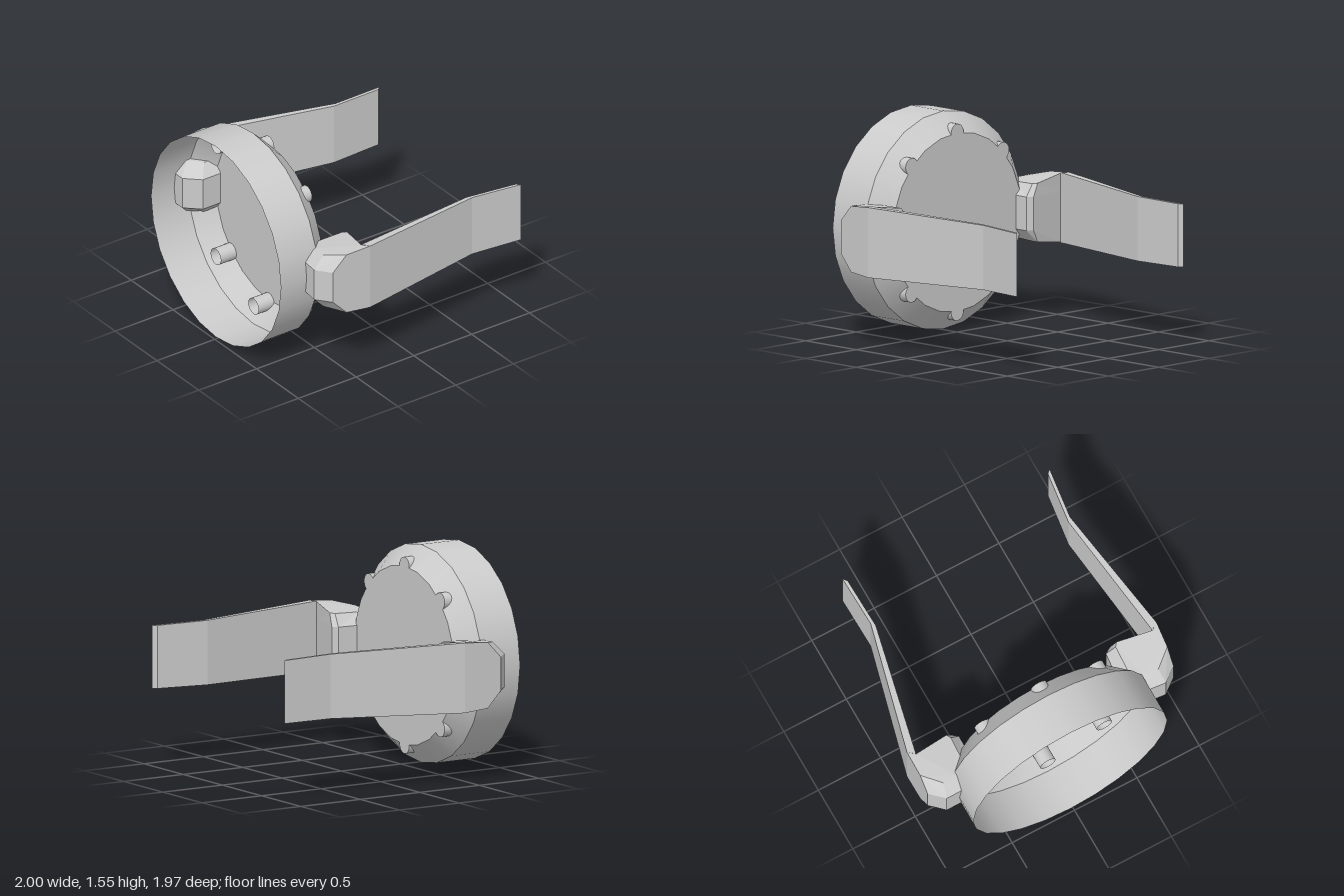
import * as THREE from 'three';

const CX = -0.02, CY = 0.778;
const grey = (opts = {}) => new THREE.MeshStandardMaterial({ color: 0xcccccc, ...opts });

function addMesh(parent, name, geometry, material) {
  const mesh = new THREE.Mesh(geometry, material);
  mesh.name = name;
  parent.add(mesh);
  return mesh;
}

// Solid from stacked horizontal loops; each point is [x, y, z]. side -1 mirrors in x.
function loft(levels, side) {
  const n = levels[0].length, index = [];
  for (let l = 0; l < levels.length - 1; l++) {
    for (let i = 0; i < n; i++) {
      const j = (i + 1) % n, a = l * n + i, b = l * n + j;
      index.push(b, a, a + n, b, a + n, b + n);
    }
  }
  const cap = (loop, base, up) => {
    const flat = loop.map(([x, , z]) => new THREE.Vector2(x, z));
    for (const [a, b, c] of THREE.ShapeUtils.triangulateShape(flat, [])) {
      const area = THREE.ShapeUtils.area([flat[a], flat[b], flat[c]]);
      if ((area < 0) === up) index.push(base + a, base + b, base + c);
      else index.push(base + a, base + c, base + b);
    }
  };
  cap(levels[0], 0, false);
  cap(levels[levels.length - 1], (levels.length - 1) * n, true);
  if (side < 0) index.reverse();
  const points = levels.flat().flatMap(([x, y, z]) => [side * x, y, z]);
  const g = new THREE.BufferGeometry();
  g.setAttribute('position', new THREE.Float32BufferAttribute(points, 3));
  g.setIndex(index);
  const out = g.toNonIndexed();
  out.computeVertexNormals();
  return out;
}

// Outlines seen from above, [x, z, half height]
const blockTop = [[1, 0.38, 0.25], [1, 0.57, 0.235], [0.88, 0.69, 0.21], [0.77, 0.69, 0.205],
  [0.68, 0.6, 0.2], [0.67, 0.42, 0.205], [0.69, 0.388, 0.21], [0.95, 0.42, 0.245]];
const blockMid = [[1, 0.38], [1, 0.68], [0.9, 0.775], [0.7, 0.775],
  [0.6, 0.67], [0.6, 0.41], [0.64, 0.378], [0.95, 0.42]];
const strip = [[1, 0.38, 0.25], [0.95, 0.42, 0.25], [0.73, -0.56, 0.23],
  [0.74, -0.95, 0.225], [0.765, -0.98, 0.225], [0.755, -0.59, 0.23]];

function createArm(side) {
  const arm = new THREE.Group();
  arm.name = side > 0 ? 'leftArm' : 'rightArm';
  const level = (pts, s, h) => pts.map(([x, z, hh]) => [x - 1, CY + s * (h ?? hh), z - 0.39]);
  const material = grey({ flatShading: true });
  addMesh(arm, 'armBlock', loft([level(blockTop, -1), level(blockMid, -1, 0.12),
    level(blockMid, 1, 0.12), level(blockTop, 1)], side), material);
  addMesh(arm, 'armStrip', loft([level(strip, -1), level(strip, 1)], side), material);
  arm.position.set(side, 0, 0.39);
  // the left arm is spread slightly outwards
  if (side > 0) arm.rotation.y = -0.1;
  return arm;
}

// Open tube along z
function tube(rFront, rBack, zFront, zBack, sides) {
  return new THREE.CylinderGeometry(rFront, rBack, zFront - zBack, sides, 1, true)
    .rotateX(Math.PI / 2).translate(0, 0, (zFront + zBack) / 2);
}

export function createModel() {
  const model = new THREE.Group();
  model.name = 'eyeShield';
  const thin = grey({ side: THREE.DoubleSide });

  // Open cup with a flat back
  const cup = new THREE.Group();
  cup.name = 'cup';
  cup.position.set(CX, CY, 0);
  addMesh(cup, 'cupRim', tube(0.777, 0.777, 0.975, 0.655, 24), thin);
  addMesh(cup, 'cupBevel', tube(0.777, 0.637, 0.655, 0.515, 24), thin);
  addMesh(cup, 'cupPlate', new THREE.CircleGeometry(0.637, 24).translate(0, 0, 0.515), thin);

  // Small hollow pegs set through the bevel
  for (const degrees of [45, 90, 135, 225, 270, 315]) {
    const a = THREE.MathUtils.degToRad(degrees);
    const peg = new THREE.Group();
    peg.name = 'peg';
    peg.position.set(0.64 * Math.cos(a), 0.64 * Math.sin(a), 0);
    addMesh(peg, 'pegWall', tube(0.062, 0.062, 0.65, 0.515, 16), thin);
    addMesh(peg, 'pegEnd', new THREE.CircleGeometry(0.062, 16).translate(0, 0, 0.515), thin);
    cup.add(peg);
  }
  model.add(cup);

  // Side arms
  model.add(createArm(1), createArm(-1));
  return model;
}
